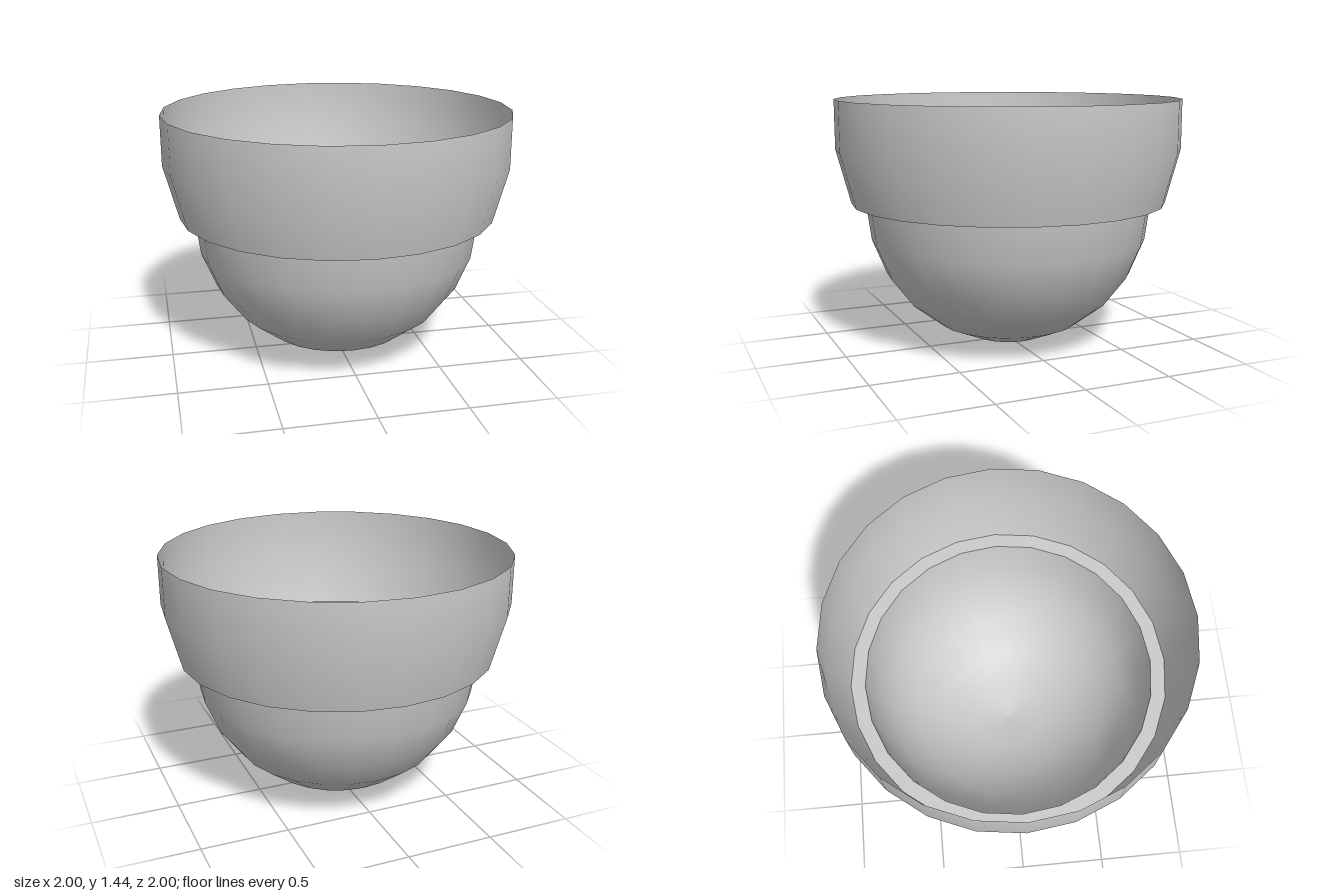
import * as THREE from 'three';

const SEGMENTS = 24;

export function createModel() {
  const model = new THREE.Group();
  const material = new THREE.MeshStandardMaterial({ color: 0xcccccc, side: THREE.DoubleSide });

  // Revolve a [radius, height] profile into a thin open shell
  function addShell(name, profile) {
    const points = profile.map(([r, y]) => new THREE.Vector2(r, y));
    const mesh = new THREE.Mesh(new THREE.LatheGeometry(points, SEGMENTS), material);
    mesh.name = name;
    model.add(mesh);
  }

  // Rounded lower bowl
  addShell('bowl', [
    [0, 0], [0.215, 0.03], [0.415, 0.115], [0.592, 0.25],
    [0.722, 0.42], [0.805, 0.62], [0.835, 0.84],
  ]);

  // Flat step joining bowl and collar; separate so its edges stay sharp
  addShell('ledge', [[0.835, 0.84], [0.917, 0.84]]);

  // Flared collar with an upright, open rim
  addShell('collar', [[0.917, 0.84], [1, 1.155], [1, 1.44]]);

  return model;
}
